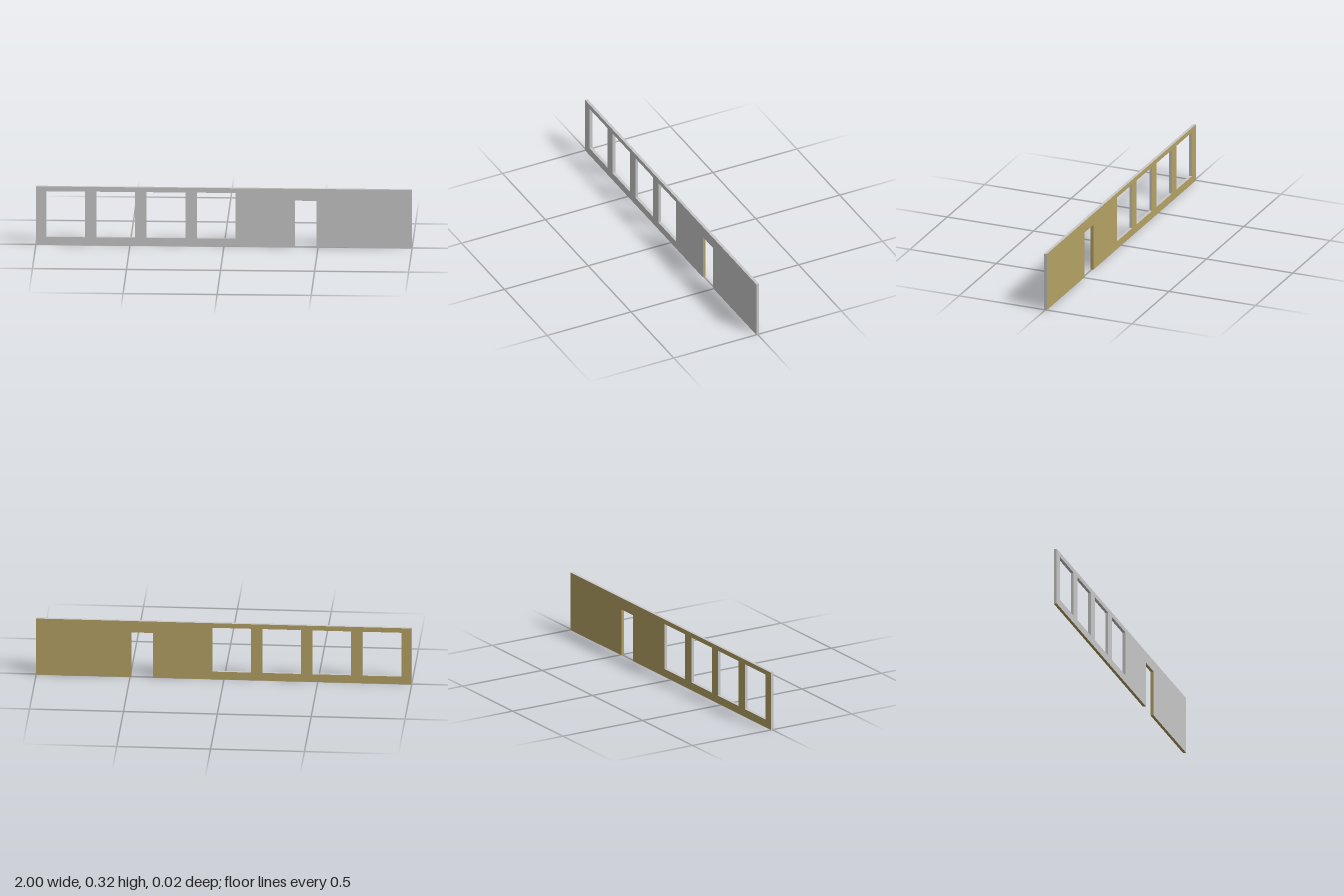
import * as THREE from 'three';

const HEIGHT = 0.321, DEPTH = 0.016;
const DOOR = { left: 0.377, right: 0.492, top: 0.256 };
const WINDOW = { width: 0.206, bottom: 0.044, top: 0.295 };
const WINDOW_STARTS = [-0.945, -0.678, -0.411, -0.144];

const polygon = (points, Type) => new Type(points.map(([x, y]) => new THREE.Vector2(x, y)));

export function createModel() {
  const grey = new THREE.MeshStandardMaterial({ color: 0xc8c8c8 });
  grey.name = 'greyPlaster';
  const tan = new THREE.MeshStandardMaterial({ color: 0xb5a264 });
  tan.name = 'tanBacking';

  // Wall outline with the doorway cut up from the floor
  const outline = polygon([
    [-1, 0], [DOOR.left, 0], [DOOR.left, DOOR.top], [DOOR.right, DOOR.top],
    [DOOR.right, 0], [1, 0], [1, HEIGHT], [-1, HEIGHT],
  ], THREE.Shape);

  // Row of equal window openings
  for (const x of WINDOW_STARTS) {
    const end = x + WINDOW.width;
    outline.holes.push(polygon([
      [x, WINDOW.bottom], [x, WINDOW.top], [end, WINDOW.top], [end, WINDOW.bottom],
    ], THREE.Path));
  }

  const geometry = new THREE.ExtrudeGeometry(outline, { depth: DEPTH, bevelEnabled: false });
  geometry.translate(0, 0, -DEPTH / 2);

  // Tan on the back, the underside and the doorway reveals; grey elsewhere
  const position = geometry.attributes.position, normal = geometry.attributes.normal;
  geometry.clearGroups();
  for (let i = 0; i < position.count; i += 3) {
    const x = (position.getX(i) + position.getX(i + 1) + position.getX(i + 2)) / 3;
    const y = (position.getY(i) + position.getY(i + 1) + position.getY(i + 2)) / 3;
    const nz = normal.getZ(i);
    const inDoor = x > DOOR.left - 0.01 && x < DOOR.right + 0.01 && y < DOOR.top + 0.01;
    const isTan = nz < -0.5 || (Math.abs(nz) < 0.5 && (y < 0.001 || inDoor));
    geometry.addGroup(i, 3, isTan ? 1 : 0);
  }

  const wall = new THREE.Mesh(geometry, [grey, tan]);
  wall.name = 'wallPanel';
  const group = new THREE.Group();
  group.name = 'wallWithWindowsAndDoorway';
  group.add(wall);
  return group;
}
